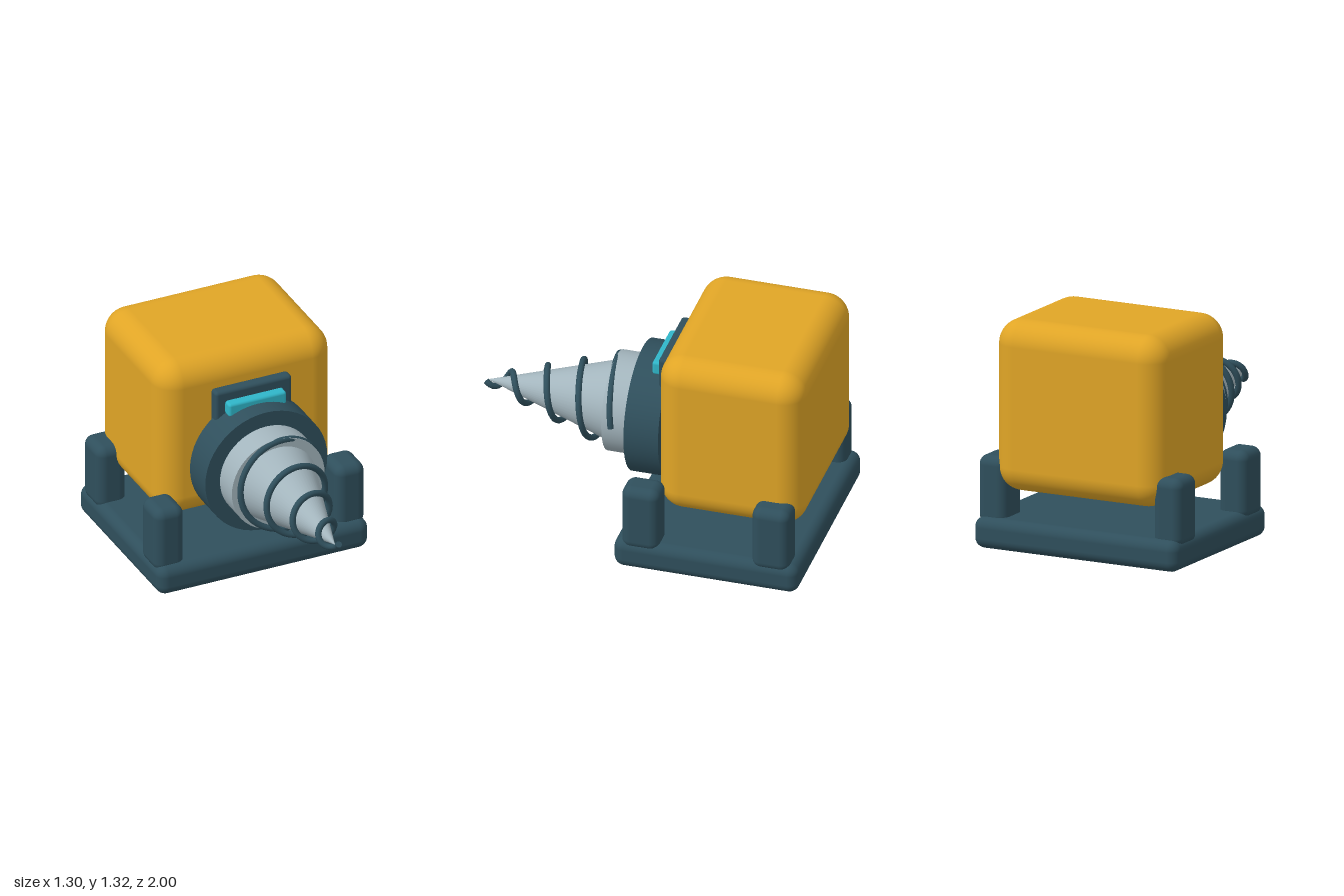
import * as THREE from 'three';
import { RoundedBoxGeometry } from 'three/addons/geometries/RoundedBoxGeometry.js';

function material(name, color) {
  const m = new THREE.MeshStandardMaterial({ color });
  m.name = name;
  return m;
}

export function createModel() {
  const model = new THREE.Group();
  model.name = 'drillMachine';

  const yellow = material('yellow', 0xe0a526);
  const dark = material('dark slate', 0x2f4f5c);
  const steel = material('steel', 0xa3b5bd);
  const cyan = material('cyan', 0x2fb5c8);

  const add = (name, geometry, mat, x, y, z) => {
    const mesh = new THREE.Mesh(geometry, mat);
    mesh.name = name;
    mesh.position.set(x, y, z);
    model.add(mesh);
    return mesh;
  };

  // Rounded box given by its lower and upper limits on each axis
  const box = (name, mat, [x0, x1], [y0, y1], [z0, z1], radius, segments = 5) =>
    add(name, new RoundedBoxGeometry(x1 - x0, y1 - y0, z1 - z0, segments, radius), mat,
      (x0 + x1) / 2, (y0 + y1) / 2, (z0 + z1) / 2);

  // Body and base plate
  box('body', yellow, [-0.535, 0.535], [0.335, 1.315], [-0.99, -0.145], 0.14, 8);
  box('base', dark, [-0.648, 0.648], [0, 0.18], [-1, 0.07], 0.06);

  // Four corner posts
  for (const side of [-1, 1]) {
    for (const z of [-0.085, -0.84]) {
      const x = side * 0.555;
      box(`${side > 0 ? 'left' : 'right'}${z > -0.5 ? 'Front' : 'Rear'}Post`, dark,
        [x - 0.09, x + 0.09], [0.13, 0.525], [z - 0.11, z + 0.11], 0.055);
    }
  }

  // Visor panel with its light
  box('visorPanel', dark, [-0.235, 0.235], [0.9, 1.145], [-0.145, -0.075], 0.02, 3);
  box('visorLight', cyan, [-0.177, 0.177], [1.0, 1.083], [-0.09, -0.022], 0.016, 3);

  // Drill parts run along z at this height
  const axisY = 0.675;
  const round = (name, mat, rFront, rBack, z0, z1) => {
    const g = new THREE.CylinderGeometry(rFront, rBack, z1 - z0, 48);
    g.rotateX(Math.PI / 2);
    add(name, g, mat, 0, axisY, (z0 + z1) / 2);
  };
  round('drillCollar', dark, 0.375, 0.375, -0.115, 0.085);
  round('drillShank', steel, 0.285, 0.285, 0.07, 0.24);
  round('drillCone', steel, 0, 0.235, 0.23, 0.98);

  // Spiral ridge: four turns narrowing toward the tip
  class Spiral extends THREE.Curve {
    getPoint(t, target = new THREE.Vector3()) {
      const angle = t * 8 * Math.PI;
      const r = 0.285 + (0.02 - 0.285) * t;
      return target.set(r * Math.cos(angle), r * Math.sin(angle), 0.185 + 0.8 * t);
    }
  }
  const spiral = new Spiral();
  spiral.arcLengthDivisions = 600;
  add('drillSpiral', new THREE.TubeGeometry(spiral, 240, 0.018, 10), dark, 0, axisY, 0);
  // Flat caps on the open ends of the ridge
  for (const t of [0, 1]) {
    const cap = new THREE.CircleGeometry(0.018, 10);
    const dir = spiral.getTangentAt(t).multiplyScalar(t ? 1 : -1);
    const p = spiral.getPointAt(t);
    add('spiralEnd', cap, dark, p.x, p.y + axisY, p.z)
      .quaternion.setFromUnitVectors(new THREE.Vector3(0, 0, 1), dir);
  }

  return model;
}
